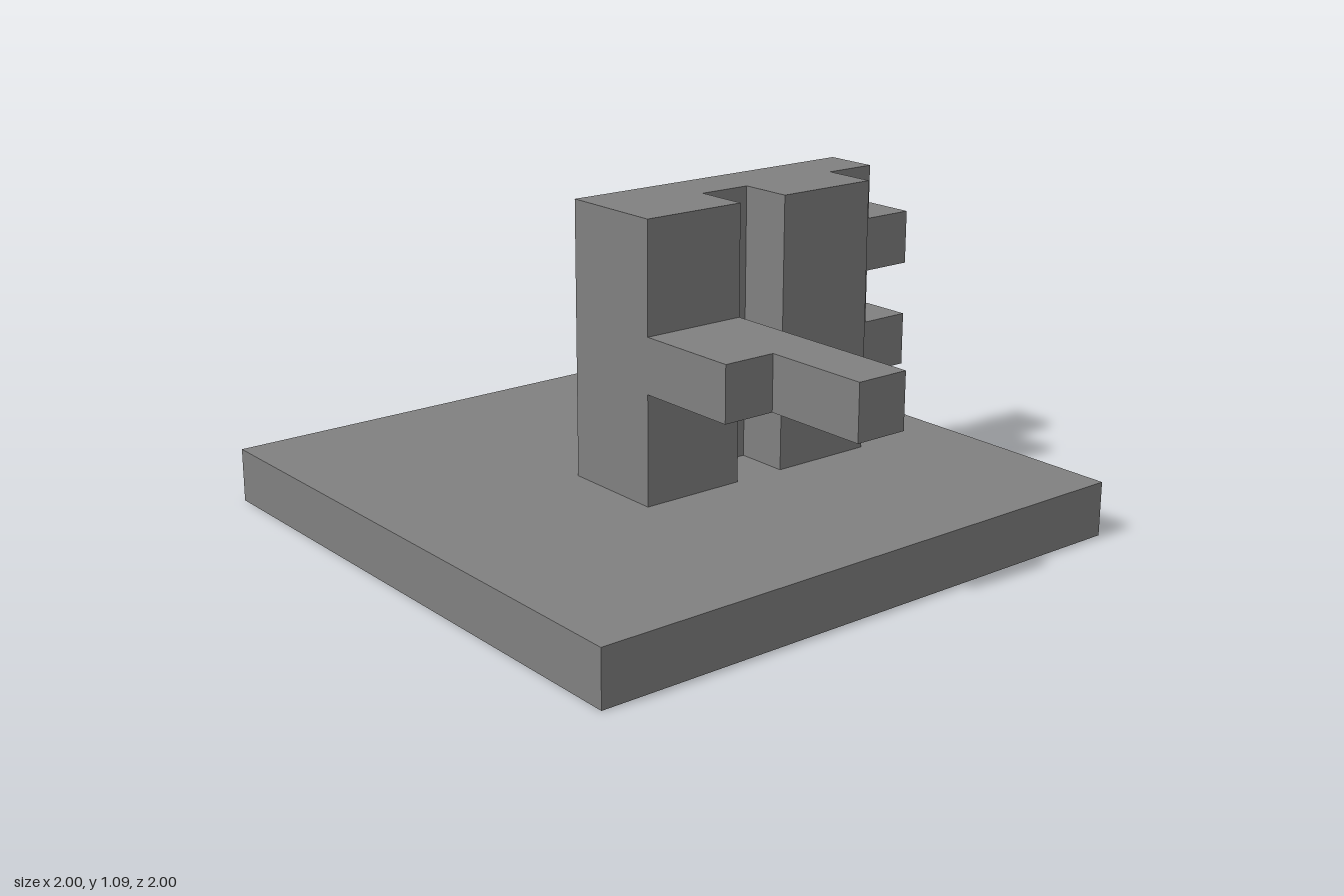
import * as THREE from 'three';

// Everything sits on a cubic grid: the base is 11 cells wide
const U = 2 / 11;

export function createModel() {
  const model = new THREE.Group();
  const grey = new THREE.MeshStandardMaterial({ color: 0x808080 });
  grey.name = 'grey';

  // Extrude a floor plan of [x, z] cells between two heights, in cells
  function slab(name, plan, bottom, top) {
    const shape = new THREE.Shape(plan.map(([x, z]) => new THREE.Vector2(x * U, z * U)));
    const geometry = new THREE.ExtrudeGeometry(shape, {
      depth: (top - bottom) * U,
      bevelEnabled: false,
    });
    geometry.rotateX(Math.PI / 2); // plan y becomes z, depth runs downward
    const mesh = new THREE.Mesh(geometry, grey);
    mesh.name = name;
    mesh.position.y = top * U;
    model.add(mesh);
  }

  const rect = (x0, x1, z0, z1) => [[x0, z0], [x1, z0], [x1, z1], [x0, z1]];

  // Square base plate
  slab('basePlate', rect(-5.5, 5.5, -5.5, 5.5), 0, 1);

  // Upright wall with a vertical groove and a stepped rear edge
  slab('wall', [
    [-0.5, -4.5], [0.5, -4.5], [0.5, -3.5], [1.5, -3.5], [1.5, -1.5],
    [0.5, -1.5], [0.5, -0.5], [1.5, -0.5], [1.5, 1.5], [-0.5, 1.5],
  ], 1, 6);

  // Side arm, narrowing halfway along
  slab('arm', [
    [1.5, -0.5], [5.5, -0.5], [5.5, 0.5], [3.5, 0.5], [3.5, 1.5], [1.5, 1.5],
  ], 3, 4);

  // Two pegs on the rear edge
  slab('lowerPeg', rect(-0.5, 0.5, -5.5, -4.5), 2, 3);
  slab('upperPeg', rect(-0.5, 0.5, -5.5, -4.5), 4, 5);

  return model;
}
